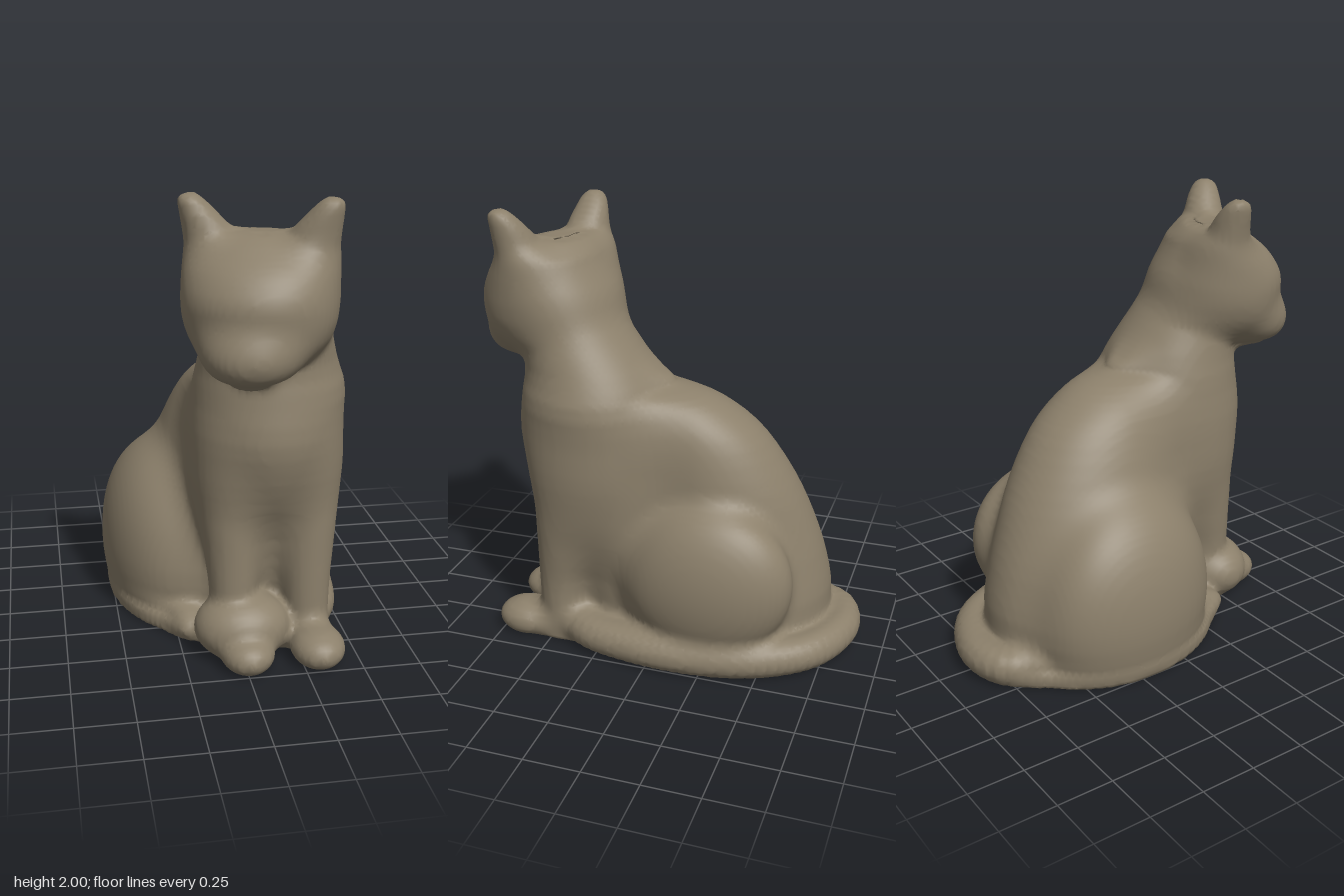
import * as THREE from 'three';

const fur = new THREE.MeshStandardMaterial({ color: 0x8c806b });
fur.name = 'fur';

// Rough signed distance to an ellipsoid, or to an upright elliptical column when ry is Infinity
function ellipsoidDistance(x, y, z, rx, ry, rz) {
  const u = x / rx, v = y / ry, w = z / rz, a = u / rx, b = v / ry, c = w / rz;
  const q = Math.sqrt(u * u + v * v + w * w), g = Math.sqrt(a * a + b * b + c * c);
  return g < 1e-6 ? -Math.min(rx, rz) : q * (q - 1) / g;
}

// A part is a distance function in its own frame, with the softness of its joint
function part(name, soft, distance, place = new THREE.Matrix4()) {
  const inverse = place.clone().invert(), local = new THREE.Vector3();
  return { name, soft, field: p => distance(local.copy(p).applyMatrix4(inverse)) };
}

// Smooth loft through elliptical sections, listed upwards: [y, centreX, centreZ, radiusX, radiusZ]
function loft(name, soft, rows, place) {
  const steps = 24, low = rows[0][0], high = rows[rows.length - 1][0];
  const spline = pick => new THREE.CatmullRomCurve3(rows.map(pick), false, 'catmullrom', 0.5).getPoints(steps);
  const centre = spline(r => new THREE.Vector3(r[1], r[0], r[2]));
  const radius = spline(r => new THREE.Vector3(r[3], 0, r[4]));
  const c = new THREE.Vector3(), r = new THREE.Vector3();
  return part(name, soft, p => {
    const y = Math.min(Math.max(p.y, low), high);
    let i = 1;
    while (i < steps && centre[i].y < y) i++;
    const t = (y - centre[i - 1].y) / (centre[i].y - centre[i - 1].y);
    c.lerpVectors(centre[i - 1], centre[i], t);
    r.lerpVectors(radius[i - 1], radius[i], t);
    const d = ellipsoidDistance(p.x - c.x, 0, p.z - c.z, r.x, Infinity, r.z);
    const e = Math.max(low - p.y, p.y - high), dOut = Math.max(d, 0), eOut = Math.max(e, 0);
    return Math.min(Math.max(d, e), 0) + Math.sqrt(dOut * dOut + eOut * eOut);
  }, place);
}

// Ellipsoid
function blob(name, soft, centre, radii, turn = [0, 0, 0], parent = new THREE.Matrix4()) {
  const place = new THREE.Matrix4().makeRotationFromEuler(new THREE.Euler(...turn)).setPosition(...centre);
  return part(name, soft, p => ellipsoidDistance(p.x, p.y, p.z, ...radii), parent.clone().multiply(place));
}

// Round tube along a curve
function tube(name, soft, curve, radius) {
  const points = curve.getSpacedPoints(48);
  return part(name, soft, p => {
    let best = Infinity;
    for (const c of points) best = Math.min(best, c.distanceToSquared(p));
    return Math.sqrt(best) - radius;
  });
}

// Wrap one continuous skin round all parts, cut flat at the ground, and split it into a mesh per part
function skin(parts) {
  const step = 0.022, low = [-0.61, -0.055, -0.96], count = [56, 97, 88];
  const stride = [1, count[0], count[0] * count[1]];
  const field = p => {
    let sum = Infinity;
    for (const { soft, field: f } of parts) {
      const d = f(p), h = Math.max(soft - Math.abs(sum - d), 0);
      sum = Math.min(sum, d) - h * h / (4 * soft);
    }
    return Math.max(sum, 0.003 - p.y);
  };
  const p = new THREE.Vector3(), q = new THREE.Vector3(), g = new THREE.Vector3();
  const cells = [], values = new Float32Array(count[0] * count[1] * count[2]);
  for (let k = 0, n = 0; k < count[2]; k++) for (let j = 0; j < count[1]; j++) for (let i = 0; i < count[0]; i++, n++) {
    values[n] = field(p.set(low[0] + i * step, low[1] + j * step, low[2] + k * step));
    if (i < count[0] - 1 && j < count[1] - 1 && k < count[2] - 1) cells.push([n, p.x, p.y, p.z]);
  }

  // One vertex in each grid cell the surface passes through, then pulled onto the surface
  const pos = [], owner = [], vertexOf = new Map();
  const corner = c => (c & 1) * stride[0] + (c >> 1 & 1) * stride[1] + (c >> 2 & 1) * stride[2];
  for (const [n, x, y, z] of cells) {
    let hits = 0;
    p.set(0, 0, 0);
    for (let c = 0; c < 8; c++) for (let axis = 0; axis < 3; axis++) {
      if (c >> axis & 1) continue;
      const a = values[n + corner(c)], b = values[n + corner(c) + stride[axis]];
      if (a < 0 === b < 0) continue;
      q.set(c & 1, c >> 1 & 1, c >> 2 & 1);
      q.setComponent(axis, a / (a - b));
      p.add(q);
      hits++;
    }
    if (!hits) continue;
    p.multiplyScalar(step / hits).add(q.set(x, y, z));
    for (let pass = 0; pass < 2; pass++) {
      const d = field(p), e = 0.004;
      for (let axis = 0; axis < 3; axis++) {
        q.copy(p).setComponent(axis, p.getComponent(axis) + e);
        g.setComponent(axis, (field(q) - d) / e);
      }
      p.addScaledVector(g, -d / Math.max(g.lengthSq(), 0.3));
    }
    const near = parts.map(s => s.field(p));
    vertexOf.set(n, owner.length);
    owner.push(near.indexOf(Math.min(...near)));
    pos.push(p.x, p.y, p.z);
  }

  // A quad across every grid edge the surface crosses
  const all = [], faces = parts.map(() => []);
  for (const [n] of cells) for (let axis = 0; axis < 3; axis++) {
    const inside = values[n] < 0;
    if (inside === values[n + stride[axis]] < 0) continue;
    const u = stride[(axis + 1) % 3], v = stride[(axis + 2) % 3];
    const ring = [n - u - v, n - v, n, n - u].map(m => vertexOf.get(m));
    if (!inside) ring.reverse();
    const [a, b, c, d] = ring;
    all.push(a, b, c, a, c, d);
    faces[owner[a]].push(a, b, c, a, c, d);
  }
  const geo = new THREE.BufferGeometry();
  geo.setAttribute('position', new THREE.Float32BufferAttribute(pos, 3));
  geo.setIndex(all);
  geo.computeVertexNormals();
  const group = new THREE.Group();
  parts.forEach(({ name }, i) => {
    if (!faces[i].length) return;
    const mesh = new THREE.Mesh(geo.clone().setIndex(faces[i]).toNonIndexed(), fur);
    mesh.name = name;
    group.add(mesh);
  });
  return group;
}

export function createModel() {
  // Rounded rump and back, flat base, chest with shoulders and neck
  const parts = [
    loft('hindBody', 0.1, [
      [-0.1, -0.03, -0.2, 0.41, 0.48], [0.2, -0.03, -0.22, 0.42, 0.515], [0.4, -0.02, -0.22, 0.385, 0.49],
      [0.6, 0, -0.2, 0.345, 0.45], [0.8, 0.03, -0.17, 0.31, 0.395], [1.0, 0.06, -0.1, 0.265, 0.34],
      [1.12, 0.08, -0.03, 0.22, 0.28], [1.2, 0.1, 0.03, 0.15, 0.2], [1.24, 0.1, 0.08, 0.04, 0.08],
    ]),
    loft('base', 0.04, [
      [-0.1, -0.01, -0.19, 0.46, 0.62], [0.05, -0.01, -0.19, 0.46, 0.62], [0.09, -0.01, -0.19, 0.42, 0.57],
    ]),
    loft('chestAndNeck', 0.16, [
      [-0.1, 0.14, 0.15, 0.19, 0.23], [0.25, 0.14, 0.17, 0.21, 0.26], [0.5, 0.14, 0.2, 0.26, 0.29],
      [0.7, 0.135, 0.26, 0.3, 0.335], [0.85, 0.14, 0.3, 0.32, 0.355], [1.0, 0.14, 0.32, 0.33, 0.365],
      [1.17, 0.15, 0.335, 0.328, 0.33], [1.3, 0.14, 0.36, 0.295, 0.29], [1.45, 0.125, 0.43, 0.265, 0.25],
      [1.6, 0.1, 0.48, 0.255, 0.195], [1.76, 0.1, 0.505, 0.2, 0.12],
    ]),
  ];

  // Front legs, mirrored about the chest centre, with their paws
  for (const s of [1, -1]) {
    const side = s > 0 ? 'left' : 'right', x = d => 0.14 + s * d;
    parts.push(loft(side + 'FrontLeg', 0.1, [
      [-0.1, x(0.17), 0.46, 0.095, 0.1], [0.25, x(0.165), 0.465, 0.1, 0.105], [0.45, x(0.165), 0.435, 0.12, 0.138],
      [0.65, x(0.168), 0.4, 0.138, 0.175], [0.85, x(0.165), 0.37, 0.14, 0.2], [1.05, x(0.14), 0.35, 0.12, 0.18],
      [1.2, x(0.12), 0.33, 0.06, 0.1],
    ]));
    parts.push(blob(side + 'FrontPaw', 0.07, [s > 0 ? 0.32 : 0.01, 0.065, 0.635], [0.118, 0.085, 0.145]));
  }

  // Haunches and the peeping hind paw
  parts.push(blob('rightHaunch', 0.14, [-0.29, 0.3, -0.18], [0.247, 0.45, 0.42], [0, 0.12, 0]));
  parts.push(blob('leftHaunch', 0.08, [0.325, 0.4, -0.24], [0.207, 0.36, 0.39], [0.35, 0, 0]));
  parts.push(blob('rightHindPaw', 0.06, [-0.2, 0.06, 0.28], [0.075, 0.065, 0.14]));

  // Tail sweeping round the left side, its tip resting over the right paw
  const path = [[-0.22, -0.65], [-0.16, -0.76], [0.0, -0.8], [0.24, -0.7], [0.39, -0.48],
    [0.455, -0.18], [0.445, 0.08], [0.38, 0.32], [0.22, 0.46], [0.06, 0.5]];
  const curve = new THREE.CatmullRomCurve3(path.map(([x, z]) => new THREE.Vector3(x, 0.08, z)));
  parts.push(tube('tail', 0.06, curve, 0.083));
  parts.push(blob('tailTip', 0.03, [0.01, 0.13, 0.51], [0.21, 0.15, 0.175]));

  // Head, turned towards the right
  const head = new THREE.Matrix4().makeRotationY(-0.4).setPosition(0.09, 0, 0.5);
  parts.push(loft('skull', 0.1, [
    [1.295, 0, 0.21, 0.06, 0.07], [1.33, 0, 0.16, 0.16, 0.18], [1.42, 0, 0.09, 0.265, 0.265],
    [1.52, 0, 0.07, 0.31, 0.29], [1.62, 0, 0.065, 0.315, 0.295], [1.72, 0, 0.06, 0.3, 0.24],
    [1.8, 0, 0.035, 0.26, 0.17], [1.845, 0, 0.02, 0.19, 0.11], [1.86, 0, 0.02, 0.09, 0.05],
  ], head));
  parts.push(blob('muzzle', 0.1, [0, 1.4, 0.25], [0.165, 0.105, 0.148], [0, 0, 0], head));
  for (const s of [1, -1]) {
    parts.push(loft(s > 0 ? 'leftEar' : 'rightEar', 0.08, [
      [1.62, s * 0.17, 0.04, 0.1, 0.14], [1.76, s * 0.185, 0.04, 0.12, 0.125], [1.86, s * 0.218, 0.055, 0.1, 0.092],
      [1.93, s * 0.253, 0.065, 0.074, 0.074], [1.98, s * 0.28, 0.075, 0.05, 0.052], [2.003, s * 0.283, 0.075, 0.02, 0.02],
    ], head));
  }

  const cat = skin(parts);
  cat.name = 'sittingCat';
  return cat;
}
